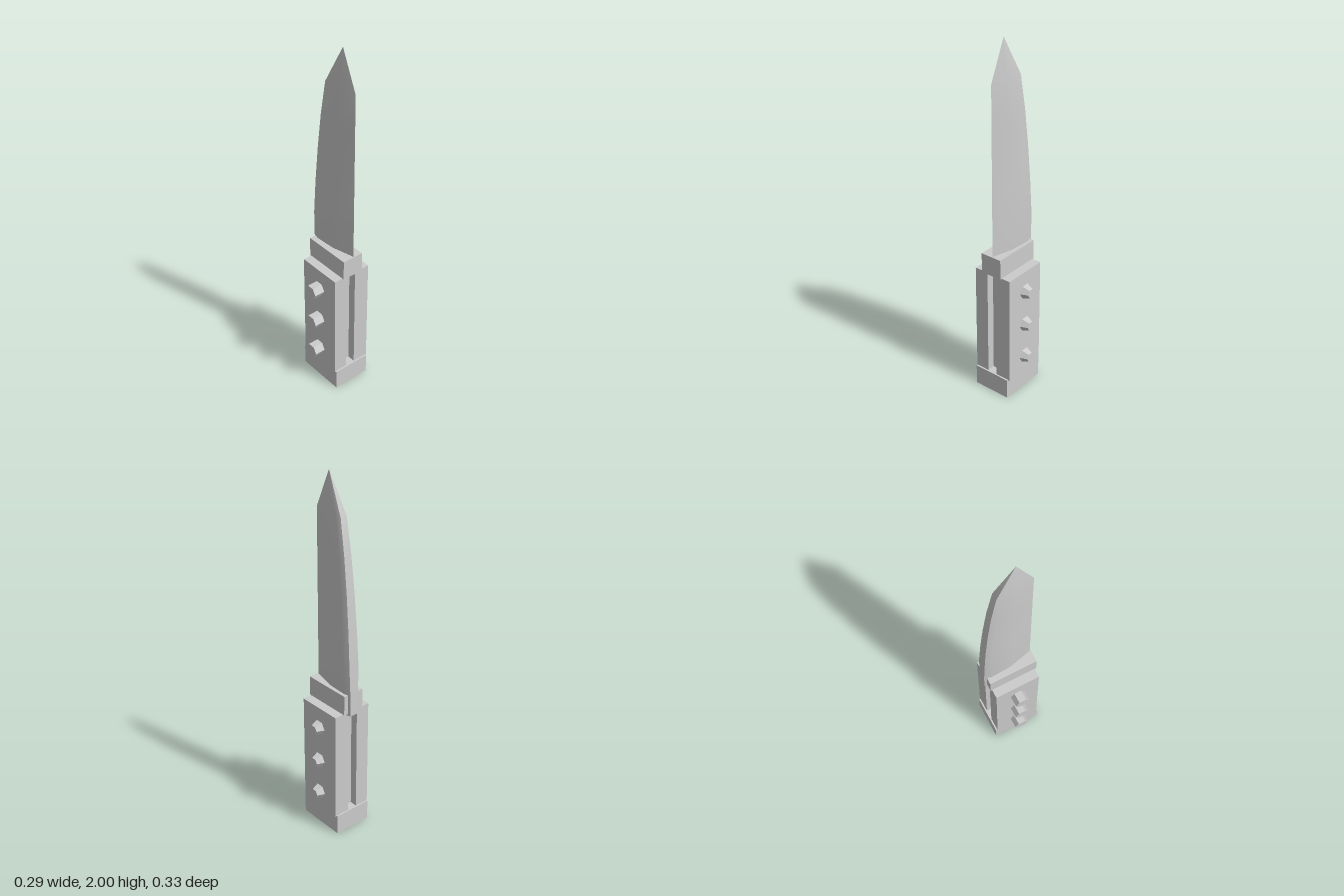
import * as THREE from 'three';
import { toCreasedNormals } from 'three/addons/utils/BufferGeometryUtils.js';

const steel = new THREE.MeshStandardMaterial({ color: 0xcccccc });
steel.name = 'plain grey';

// Box given by its limits on each axis
function block(name, x0, x1, y0, y1, z0, z1) {
  const mesh = new THREE.Mesh(new THREE.BoxGeometry(x1 - x0, y1 - y0, z1 - z0), steel);
  mesh.position.set((x0 + x1) / 2, (y0 + y1) / 2, (z0 + z1) / 2);
  mesh.name = name;
  return mesh;
}

// Six-sided rivet along z, from z0 (radius r0) to z1 (radius r1)
function rivet(name, y, z0, z1, r0, r1) {
  const geometry = new THREE.CylinderGeometry(r1, r0, z1 - z0, 6).toNonIndexed();
  geometry.rotateY(Math.PI / 2).rotateX(Math.PI / 2);
  geometry.computeVertexNormals();
  const mesh = new THREE.Mesh(geometry, steel);
  mesh.position.set(0.006, y, (z0 + z1) / 2);
  mesh.name = name;
  return mesh;
}

// Blade lofted through seven-point sections: thick spine at -x, sharp edge at +x
function bladeGeometry() {
  const zc = -0.017;
  // y, spine x, edge x, half thickness
  const levels = [
    [0.73, -0.147, 0.14, 0.036], [0.85, -0.146, 0.14, 0.037], [1.0, -0.143, 0.14, 0.043],
    [1.2, -0.131, 0.14, 0.04], [1.4, -0.114, 0.14, 0.036], [1.6, -0.091, 0.14, 0.032],
    [1.79, -0.06, 0.14, 0.027],
  ];
  // fraction of the width, fraction of the half thickness
  const section = [[0, -0.7], [0.13, -1], [0.55, -0.85], [1, 0], [0.55, 0.85], [0.13, 1], [0, 0.7]];
  const rings = levels.map(([y, spine, edge, half]) => section.map(([u, t]) =>
    [spine + (edge - spine) * u, y, zc + half * t]));
  rings.push(section.map(() => [0.047, 2, zc]));

  const n = section.length, last = rings.length - 1;
  const points = [];
  for (let j = 0; j < last; j++) {
    for (let i = 0; i < n; i++) {
      const k = (i + 1) % n;
      const a = rings[j][i], b = rings[j][k], c = rings[j + 1][i], d = rings[j + 1][k];
      points.push(...a, ...c, ...b);
      if (j + 1 < last) points.push(...c, ...d, ...b);
    }
  }
  for (let i = 1; i < n - 1; i++) points.push(...rings[0][0], ...rings[0][i], ...rings[0][i + 1]);

  const geometry = new THREE.BufferGeometry();
  geometry.setAttribute('position', new THREE.Float32BufferAttribute(points, 3));
  return toCreasedNormals(geometry, 0.5);
}

export function createModel() {
  const model = new THREE.Group();
  model.name = 'knife';

  const blade = new THREE.Mesh(bladeGeometry(), steel);
  blade.name = 'blade';
  model.add(blade);

  // Guard, pommel, two grip slabs and the tang recessed between them
  model.add(
    block('guard', -0.132, 0.145, 0.74, 0.853, -0.072, 0.052),
    block('pommel', -0.132, 0.145, 0, 0.115, -0.117, 0.1),
    block('frontGrip', -0.123, 0.135, 0.11, 0.742, 0.023, 0.103),
    block('backGrip', -0.123, 0.135, 0.11, 0.742, -0.125, -0.034),
    block('tang', -0.08, 0.09, 0.1, 0.745, -0.034, 0.023),
  );

  // Rivets: straight in front, tapered behind
  for (const y of [0.215, 0.42, 0.625]) {
    model.add(
      rivet('frontRivet', y, 0.095, 0.163, 0.041, 0.041),
      rivet('backRivet', y, -0.166, -0.125, 0.026, 0.042),
    );
  }
  // Rear rivets narrow toward their outer end
  return model;
}
